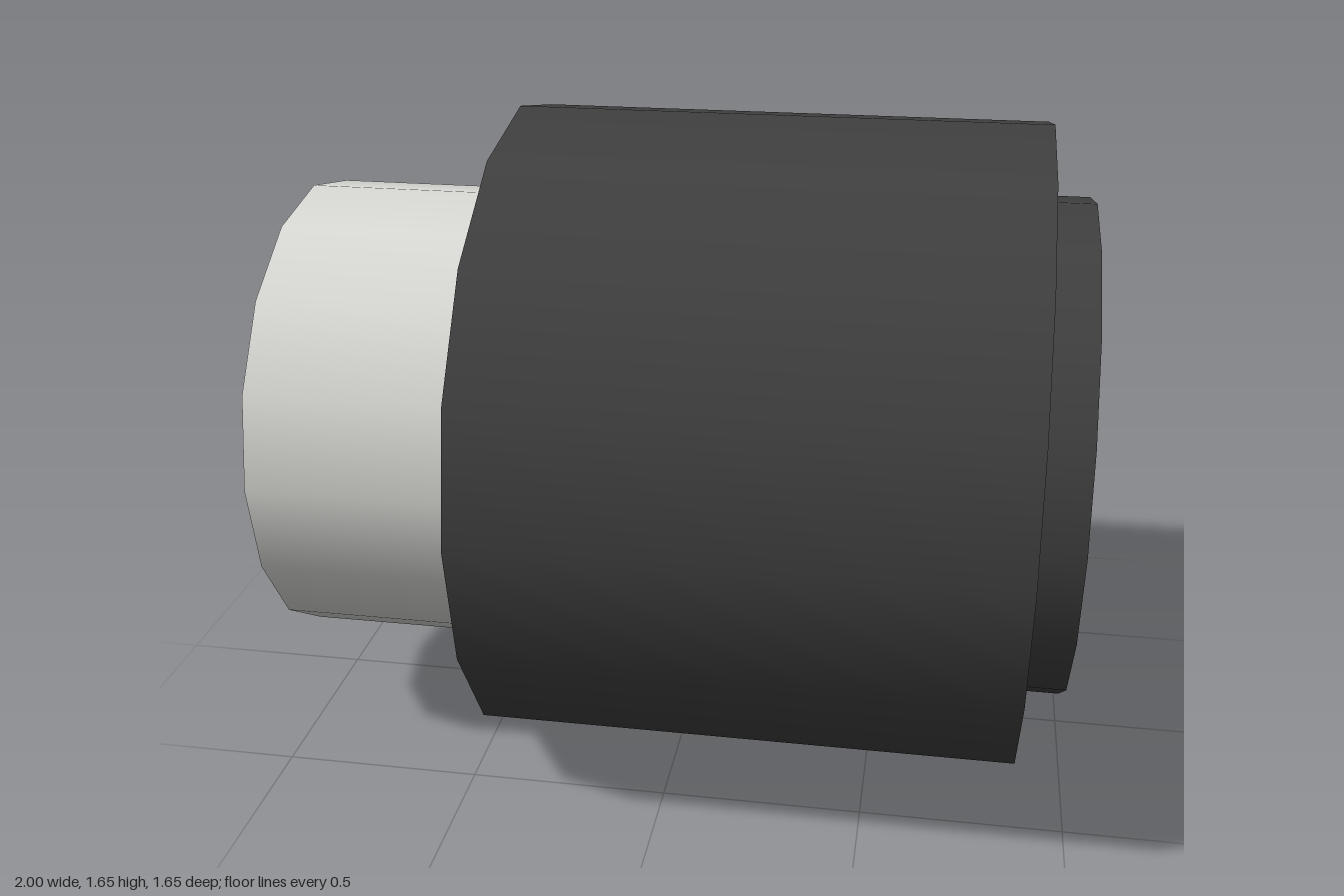
import * as THREE from 'three';

export function createModel() {
  const group = new THREE.Group();
  const black = new THREE.MeshStandardMaterial({ name: 'black rubber', color: 0x404040 });
  const silver = new THREE.MeshStandardMaterial({ name: 'pale silver', color: 0xdcdcd8 });
  const steel = new THREE.MeshStandardMaterial({ name: 'grey steel', color: 0xb0b0b2 });

  const axisY = 0.823;

  // Prism lying along x, between x0 and x1
  function barrel(name, radius, x0, x1, sides, material, flat) {
    let geometry = new THREE.CylinderGeometry(radius, radius, x1 - x0, sides);
    geometry.rotateZ(-Math.PI / 2);
    if (flat) {
      geometry = geometry.toNonIndexed();
      geometry.computeVertexNormals();
    }
    const mesh = new THREE.Mesh(geometry, material);
    mesh.name = name;
    mesh.position.set((x0 + x1) / 2, axisY, 0);
    group.add(mesh);
  }

  barrel('shaft', 0.597, -1, -0.42, 16, silver);
  barrel('body', 0.823, -0.44, 0.865, 16, black);
  barrel('endCollar', 0.635, 0.85, 0.98, 16, black);
  barrel('hexBolt', 0.262, 0.97, 1, 6, steel, true);

  return group;
}
